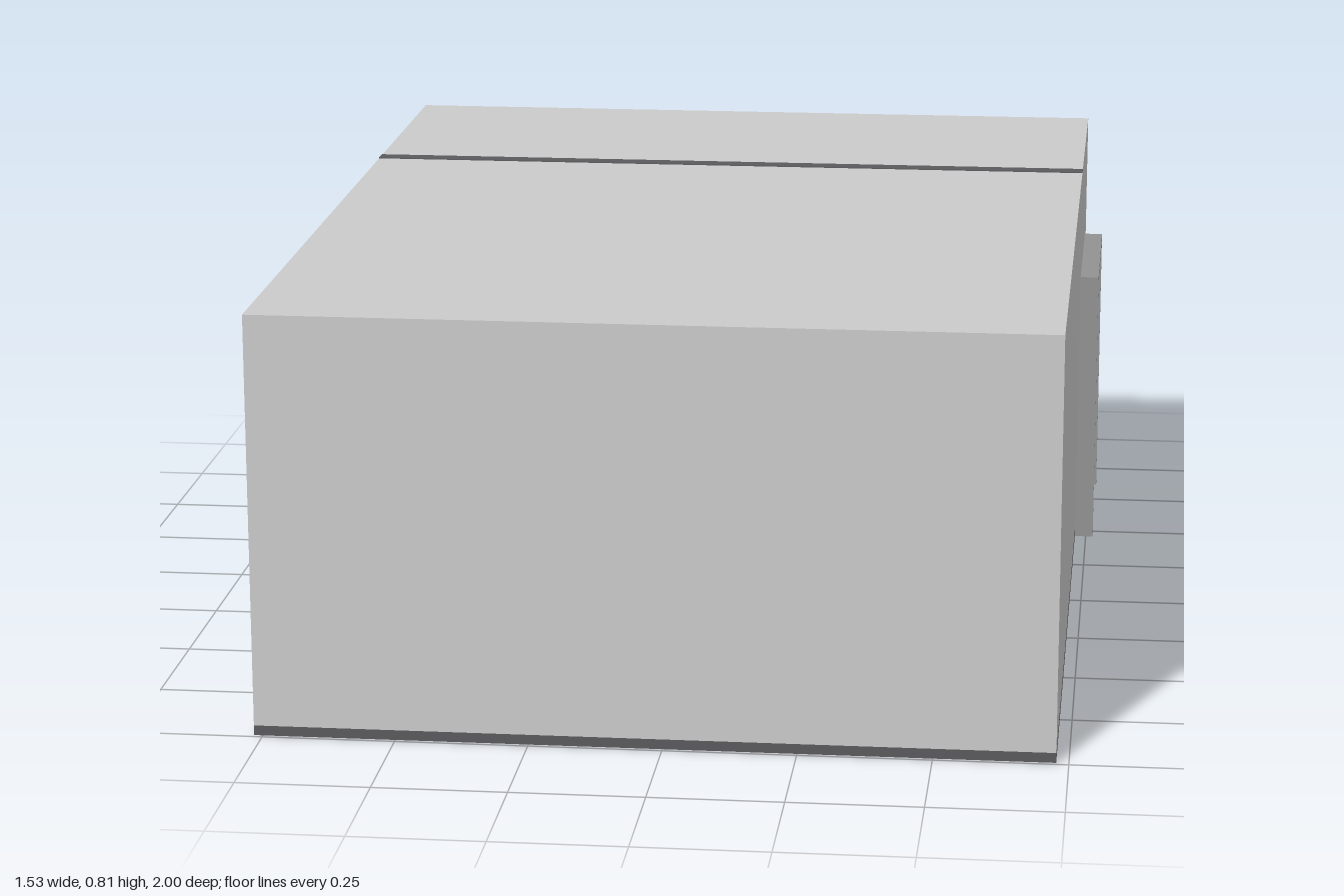
import * as THREE from 'three';

const mat = (name, color) => {
  const m = new THREE.MeshStandardMaterial({ color });
  m.name = name;
  return m;
};

export function createModel() {
  const wall = mat('light grey wall', 0xcbcbcb);
  const dark = mat('dark floor grey', 0x5a5a5d);
  const frame = mat('frame grey', 0x929292);
  const glass = mat('blue grey door', 0x6b808a);
  const seam = mat('door seam', 0x3c464c);

  const model = new THREE.Group();
  model.name = 'room';

  // Box given by its limits on each axis
  const box = (name, material, [x0, x1], [y0, y1], [z0, z1], parent = model) => {
    const mesh = new THREE.Mesh(new THREE.BoxGeometry(x1 - x0, y1 - y0, z1 - z0), material);
    mesh.position.set((x0 + x1) / 2, (y0 + y1) / 2, (z0 + z1) / 2);
    mesh.name = name;
    parent.add(mesh);
    return mesh;
  };

  // Shell of the room on its floor slab
  const X = [-0.765, 0.727];
  const Z = [-0.995, 1];
  box('floorSlab', dark, X, [0.003, 0.022], Z);
  box('walls', wall, X, [0.022, 0.81], Z);

  // Dark joint across the roof
  box('roofJoint', dark, X, [0.806, 0.812], [-0.436, -0.402]);

  // Thin raised panel on the back wall
  box('backPanel', wall, [-0.485, 0.447], [0.21, 0.625], [-1, -0.99]);

  // Double door in a projecting frame
  const door = new THREE.Group();
  door.name = 'door';
  model.add(door);
  const zFar = -0.88, zNear = -0.46, top = 0.573, w = 0.012;
  const depth = [0.72, 0.765];
  box('farJamb', frame, depth, [0, top], [zFar, zFar + w], door);
  box('nearJamb', frame, depth, [0, top], [zNear - w, zNear], door);
  box('doorHead', frame, depth, [top - w, top], [zFar + w, zNear - w], door);
  const mid = (zFar + zNear) / 2;
  const leaf = [0.72, 0.757];
  box('farLeaf', glass, leaf, [0, top - w], [zFar + w, mid - 0.003], door);
  box('nearLeaf', glass, leaf, [0, top - w], [mid + 0.003, zNear - w], door);
  box('leafSeam', seam, [0.72, 0.755], [0, top - w], [mid - 0.003, mid + 0.003], door);

  return model;
}
